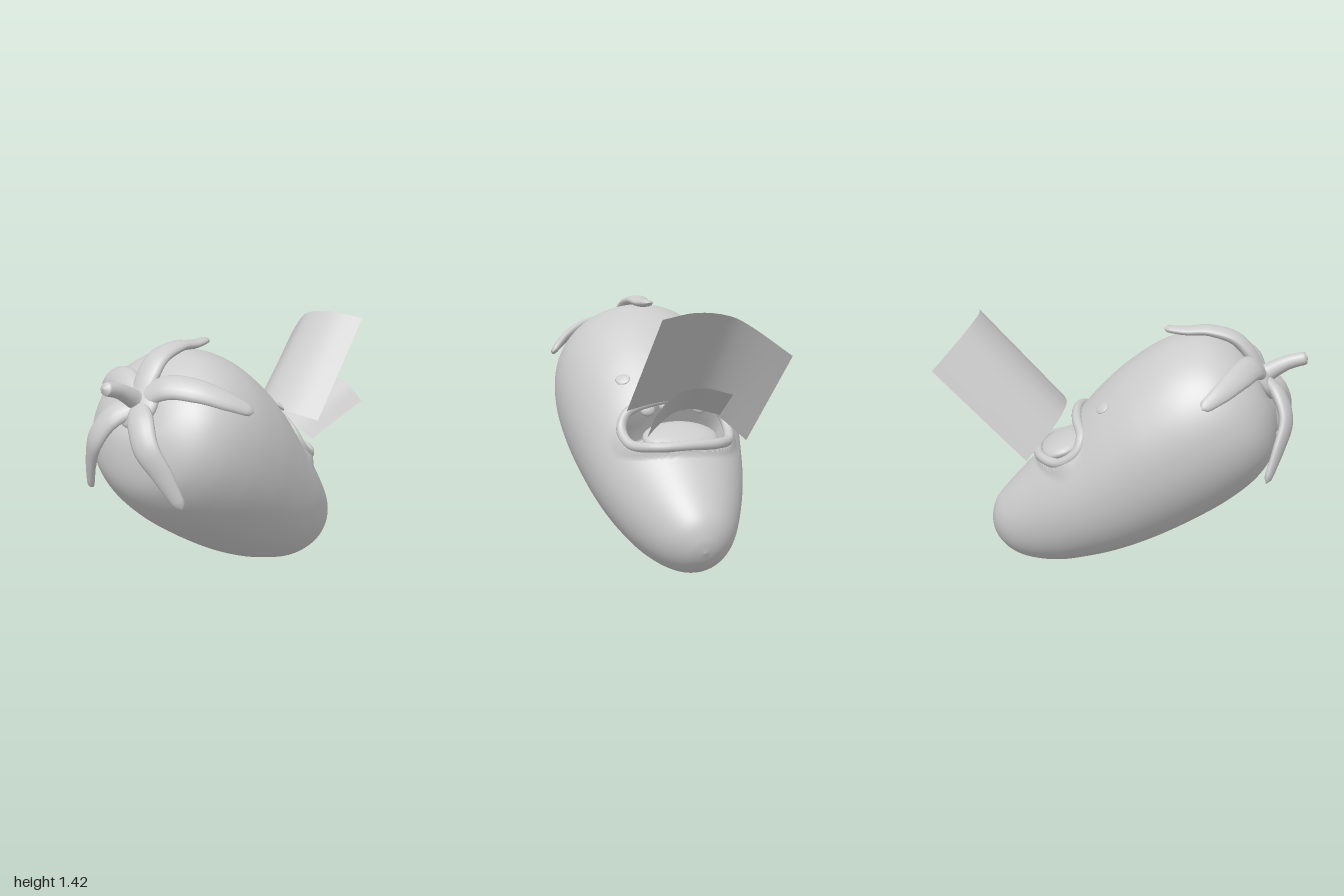
import * as THREE from 'three';

const V = (x, y, z = 0) => new THREE.Vector3(x, y, z);
const spline = (pts) => new THREE.CatmullRomCurve3(pts.map((p) => V(...p)), false, 'catmullrom', 0.5);
const grey = new THREE.MeshStandardMaterial({ color: 0xcccccc });
const greySheet = new THREE.MeshStandardMaterial({ color: 0xcccccc, side: THREE.DoubleSide });

function add(group, name, geometry, material = grey) {
  const mesh = new THREE.Mesh(geometry, material);
  mesh.name = name;
  group.add(mesh);
  return mesh;
}

// Surface through rows of points; closed rows wrap around
function loft(rows, closed) {
  const n = rows[0].length, index = [];
  for (let i = 0; i < rows.length - 1; i++) {
    for (let j = 0; j < (closed ? n : n - 1); j++) {
      const k = (j + 1) % n;
      const a = i * n + j, b = i * n + k, c = a + n, d = b + n;
      index.push(a, b, c, b, d, c);
    }
  }
  const g = new THREE.BufferGeometry().setFromPoints(rows.flat());
  g.setIndex(index);
  g.computeVertexNormals();
  return g;
}

// Elliptical section swept along a path, lying flat against the body
function sweep(path, widths, thicks, steps = 28, sides = 14) {
  const curve = spline(path), rows = [];
  const sample = (list, t) => {
    const f = t * (list.length - 1), i = Math.min(Math.floor(f), list.length - 2);
    return THREE.MathUtils.lerp(list[i], list[i + 1], f - i);
  };
  for (let i = 0; i <= steps; i++) {
    const t = i / steps, p = curve.getPoint(t), tan = curve.getTangent(t);
    const up = p.clone().sub(V(-0.4, 0.85));
    up.addScaledVector(tan, -up.dot(tan)).normalize();
    const side = tan.clone().cross(up);
    const round = Math.sqrt(Math.max(0, 1 - Math.max(0, (t - 0.94) / 0.06) ** 2));
    const w = sample(widths, t) * round, h = sample(thicks, t) * round;
    rows.push(Array.from({ length: sides }, (_, j) => {
      const a = (j / sides) * Math.PI * 2;
      return p.clone().addScaledVector(up, Math.cos(a) * h).addScaledVector(side, Math.sin(a) * w);
    }));
  }
  return loft(rows, true);
}

// Sections of the body: upper x, y, lower x, y, half width
const SECTIONS = [
  [-0.75, 1.09, -0.75, 1.09, 0],
  [-0.7, 1.195, -0.835, 0.93, 0.2],
  [-0.58, 1.305, -0.835, 0.72, 0.36],
  [-0.42, 1.355, -0.755, 0.57, 0.455],
  [-0.22, 1.31, -0.6, 0.43, 0.5],
  [-0.02, 1.18, -0.4, 0.3, 0.5],
  [0.14, 1.03, -0.18, 0.18, 0.47],
  [0.27, 0.88, 0.02, 0.095, 0.43],
  [0.4, 0.74, 0.2, 0.04, 0.38],
  [0.53, 0.6, 0.36, 0.005, 0.315],
  [0.66, 0.455, 0.52, 0.005, 0.235],
  [0.74, 0.35, 0.63, 0.035, 0.16],
  [0.766, 0.25, 0.71, 0.095, 0.08],
  [0.758, 0.17, 0.758, 0.17, 0],
];

function bodyGeometry() {
  const top = spline(SECTIONS.map((s) => [s[0], s[1], 0]));
  const low = spline(SECTIONS.map((s) => [s[2], s[3], 0]));
  const wide = spline(SECTIONS.map((s) => [s[4], 0, 0]));
  const { smoothstep } = THREE.MathUtils;
  const rows = [], rings = 160, sides = 128;
  for (let i = 0; i <= rings; i++) {
    const t = i / rings, u = top.getPoint(t), l = low.getPoint(t);
    const w = Math.max(0, wide.getPoint(t).x);
    const c = u.clone().add(l).multiplyScalar(0.5), r = u.clone().sub(c);
    rows.push(Array.from({ length: sides }, (_, j) => {
      const a = (j / sides) * Math.PI * 2, cos = Math.cos(a);
      // Underside a little fuller than an ellipse towards the head
      const rise = cos < 0 ? -(Math.abs(cos) ** (0.9 + 0.1 * t)) : cos;
      const p = c.clone().addScaledVector(r, rise);
      p.z = w * Math.sin(a);
      // Mouth cavity pressed into the upper side, skin raised below the lower lip
      if (cos > 0) {
        const along = (p.x - 0.26 - p.y + 0.9) * 0.707;
        const half = (0.325 - 0.6 * p.z * p.z) / 2;
        const f = 1 - (Math.abs(along - half) / half) ** 4 - (Math.abs(p.z) / 0.3) ** 4;
        const shift = 0.03 * smoothstep(f, -1.2, -0.1) * smoothstep(along, 0.05, 0.2)
          - 0.25 * smoothstep(f, 0, 0.6);
        p.x += shift * 0.6;
        p.y += shift * 0.8;
      }
      return p;
    }));
  }
  return loft(rows, true);
}

// Arched sheet between a near and a far edge
function sheetGeometry(near, far) {
  const a = spline(near).getPoints(16), b = spline(far).getPoints(16);
  const rows = [0, 0.5, 1].map((t) => a.map((p, i) => p.clone().lerp(b[i], t)));
  return loft(rows, false);
}

export function createModel() {
  const model = new THREE.Group();
  model.name = 'pepperWithMouth';
  add(model, 'body', bodyGeometry());

  // Lips around the mouth
  const half = [[0.25, 0.885, 0.15], [0.215, 0.83, 0.26], [0.24, 0.75, 0.3],
    [0.34, 0.68, 0.28], [0.45, 0.68, 0.18]];
  const ring = [[0.265, 0.905, 0], ...half, [0.485, 0.685, 0],
    ...half.map(([x, y, z]) => [x, y, -z]).reverse()];
  const lipPath = new THREE.CatmullRomCurve3(ring.map((p) => V(...p)), true);
  add(model, 'lips', new THREE.TubeGeometry(lipPath, 80, 0.028, 12, true));

  // Tongue and upper teeth
  const tongue = add(model, 'tongue', new THREE.SphereGeometry(1, 32, 20));
  tongue.scale.set(0.15, 0.06, 0.21);
  tongue.position.set(0.345, 0.7, 0);
  tongue.rotation.z = -0.35;
  for (const z of [-0.15, -0.05, 0.05, 0.15]) {
    const tooth = add(model, 'tooth', new THREE.SphereGeometry(1, 16, 12));
    tooth.scale.set(0.022, 0.035, 0.042);
    tooth.position.set(0.25 - z * z * 0.7, 0.87 - z * z * 1.2, z);
    tooth.rotation.z = 0.3;
  }

  // Flat oval eyes lying on the surface
  for (const s of [1, -1]) {
    const eye = add(model, 'eye', new THREE.SphereGeometry(1, 24, 16));
    eye.scale.set(0.042, 0.036, 0.01);
    eye.position.set(0.1, 0.996, s * 0.25);
    eye.lookAt(0.1 + 0.55, 0.996 + 0.7, s * (0.25 + 0.42));
  }

  // Stem and five-leaved calyx
  const calyx = new THREE.Group();
  calyx.name = 'calyx';
  model.add(calyx);
  add(calyx, 'stem', sweep([[-0.72, 1.1, 0], [-0.79, 1.15, 0], [-0.89, 1.205, 0], [-0.998, 1.235, 0]],
    [0.09, 0.05, 0.04, 0.035], [0.09, 0.05, 0.04, 0.035]));
  const hub = add(calyx, 'hub', new THREE.SphereGeometry(1, 24, 16));
  hub.scale.set(0.045, 0.14, 0.13);
  hub.position.set(-0.755, 1.12, 0);
  hub.rotation.z = -0.55;
  const leafWidths = [0.06, 0.075, 0.07, 0.055, 0.03], leafThicks = [0.035, 0.038, 0.032, 0.025, 0.018];
  add(calyx, 'topLeaf', sweep([[-0.75, 1.13, 0], [-0.69, 1.24, 0], [-0.6, 1.335, 0], [-0.46, 1.375, 0],
    [-0.33, 1.37, 0], [-0.21, 1.38, 0]], leafWidths, leafThicks));
  for (const s of [1, -1]) {
    const mirror = (pts) => pts.map(([x, y, z]) => [x, y, z * s]);
    add(calyx, 'sideLeaf', sweep(mirror([[-0.75, 1.13, 0], [-0.7, 1.21, 0.14], [-0.635, 1.205, 0.29],
      [-0.545, 1.155, 0.415], [-0.44, 1.09, 0.51]]), leafWidths, leafThicks));
    add(calyx, 'lowerLeaf', sweep(mirror([[-0.76, 1.11, 0], [-0.845, 1.05, 0.1], [-0.888, 0.93, 0.18],
      [-0.85, 0.79, 0.26], [-0.79, 0.62, 0.33]]), leafWidths, leafThicks));
  }

  // Two arched sheets in front of the mouth
  add(model, 'largeSheet', sheetGeometry(
    [[0.38, 0.87, 0.31], [0.345, 0.9, 0.13], [0.34, 0.9, -0.04], [0.385, 0.84, -0.17], [0.51, 0.7, -0.315]],
    [[0.86, 1.395, 0.27], [0.82, 1.42, 0.08], [0.83, 1.4, -0.09], [0.88, 1.34, -0.2], [0.995, 1.21, -0.36]],
  ), greySheet);
  add(model, 'smallSheet', sheetGeometry(
    [[0.45, 0.735, 0.22], [0.42, 0.8, 0.14], [0.41, 0.855, 0.05], [0.425, 0.87, -0.04], [0.48, 0.84, -0.175]],
    [[0.83, 0.91, 0.3], [0.81, 1.0, 0.21], [0.805, 1.035, 0.11], [0.815, 1.04, 0.02], [0.86, 1.01, -0.1]],
  ), greySheet);
  return model;
}
